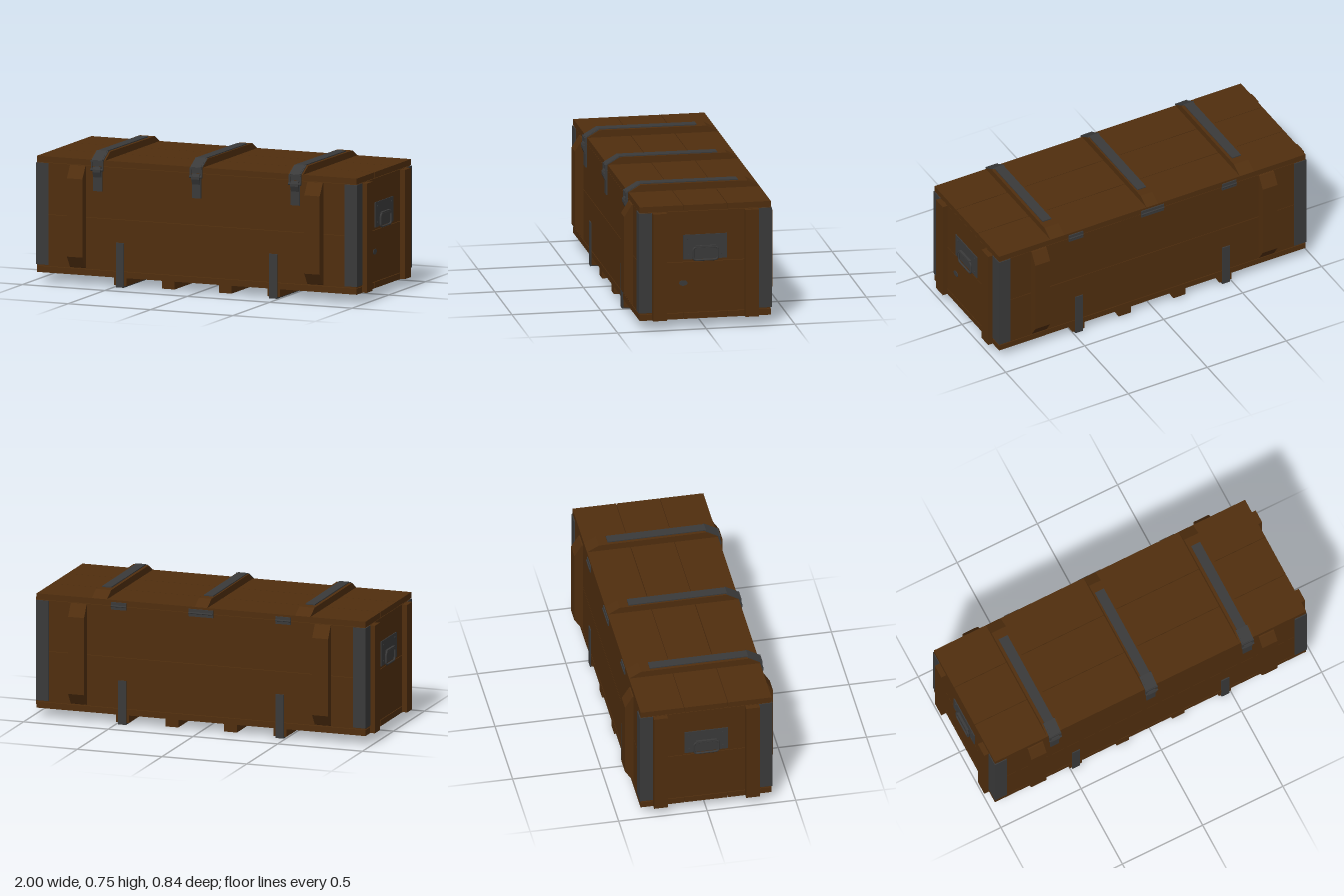
import * as THREE from 'three';

export function createModel() {
  const crate = new THREE.Group();
  crate.name = 'crate';
  const wood = new THREE.MeshStandardMaterial({ color: 0x502e0e });
  wood.name = 'brown wood';
  const metal = new THREE.MeshStandardMaterial({ color: 0x3a3a3a });
  metal.name = 'dark metal';

  function add(name, geometry, material) {
    const mesh = new THREE.Mesh(geometry, material);
    mesh.name = name;
    crate.add(mesh);
    return mesh;
  }
  // box given by its extents along each axis
  function box(name, material, x0, x1, y0, y1, z0, z1) {
    const g = new THREE.BoxGeometry(x1 - x0, y1 - y0, z1 - z0);
    g.translate((x0 + x1) / 2, (y0 + y1) / 2, (z0 + z1) / 2);
    return add(name, g, material);
  }
  // side profile of [z, y] points, given a width along x
  function profile(name, material, x, width, points) {
    const shape = new THREE.Shape(points.map(([z, y]) => new THREE.Vector2(z, y)));
    const g = new THREE.ExtrudeGeometry(shape, { depth: width, bevelEnabled: false });
    g.rotateY(-Math.PI / 2).translate(x + width / 2, 0, 0);
    return add(name, g, material);
  }

  // floor and lid, three planks each
  for (const [z0, z1] of [[-0.37, -0.125], [-0.122, 0.122], [0.125, 0.37]]) {
    box('floorPlank', wood, -0.97, 0.97, 0.054, 0.088, z0, z1);
    box('lidPlank', wood, -0.97, 0.97, 0.673, 0.706, z0, z1);
  }
  // walls, two planks each
  for (const [y0, y1] of [[0.091, 0.379], [0.382, 0.67]]) {
    for (const s of [-1, 1]) {
      box('sidePlank', wood, -0.968, 0.968, y0, y1, s * 0.353 - 0.016, s * 0.353 + 0.016);
      box('endPlank', wood, s * 0.953 - 0.016, s * 0.953 + 0.016, y0, y1, -0.337, 0.337);
    }
  }

  for (const sx of [-1, 1]) {
    for (const sz of [-1, 1]) {
      // upright battens on the ends
      box('endBatten', wood, sx * 0.985 - 0.015, sx * 0.985 + 0.015, 0.056, 0.669,
        sz * 0.26 - 0.039, sz * 0.26 + 0.039);
      // angle irons on the corners
      box('cornerIronSide', metal, sx * 0.936 - 0.037, sx * 0.936 + 0.037, 0.098, 0.669,
        sz * 0.372 - 0.003, sz * 0.372 + 0.003);
      box('cornerIronEnd', metal, sx * 0.97 - 0.003, sx * 0.97 + 0.003, 0.098, 0.669,
        sz * 0.337 - 0.037, sz * 0.337 + 0.037);
      // bevelled cleats on the long sides
      const cleat = [[0.368, 0.094], [0.376, 0.098], [0.418, 0.16], [0.418, 0.6], [0.376, 0.667], [0.368, 0.669]];
      profile('sideCleat', wood, sx * 0.72, 0.094, cleat.map(([z, y]) => [z * sz, y]));
    }
  }

  // skids under the floor, the outer pair wrapped in metal straps
  for (const s of [-1, 1]) {
    box('skid', wood, s * 0.465 - 0.038, s * 0.465 + 0.038, 0.01, 0.054, -0.368, 0.368);
    box('skid', wood, s * 0.173 - 0.038, s * 0.173 + 0.038, 0.01, 0.054, -0.368, 0.368);
    profile('skidStrap', metal, s * 0.465, 0.048, [
      [-0.375, 0], [0.375, 0], [0.375, 0.25], [0.369, 0.25], [0.369, 0.008],
      [-0.369, 0.008], [-0.369, 0.25], [-0.375, 0.25],
    ]);
  }

  // lid battens with metal straps and front latches
  for (const x of [-0.6, 0, 0.6]) {
    profile('lidBatten', wood, x, x === 0 ? 0.074 : 0.09,
      [[0.37, 0.706], [0.302, 0.746], [-0.302, 0.743], [-0.37, 0.706]]);
    profile('lidStrap', metal, x, 0.056, [
      [-0.25, 0.74], [-0.25, 0.749], [0.305, 0.751], [0.38, 0.707], [0.38, 0.672],
      [0.37, 0.672], [0.37, 0.7], [0.302, 0.744],
    ]);
    profile('strapNose', metal, x, 0.072, [[0.3, 0.744], [0.304, 0.75], [0.378, 0.707], [0.37, 0.7]]);
    box('latchPlate', metal, x - 0.027, x + 0.027, 0.532, 0.668, 0.368, 0.377);
    profile('latchLever', metal, x, 0.048,
      [[0.375, 0.61], [0.38, 0.61], [0.393, 0.64], [0.393, 0.655], [0.386, 0.67], [0.375, 0.67]]);
    const pin = new THREE.CylinderGeometry(0.007, 0.007, 0.076, 10);
    pin.rotateZ(Math.PI / 2).translate(x, 0.653, 0.384);
    add('latchPin', pin, metal);
    for (const s of [-1, 1]) {
      box('latchLink', metal, x + s * 0.033 - 0.004, x + s * 0.033 + 0.004, 0.65, 0.704, 0.377, 0.384);
    }
    box('latchHook', metal, x - 0.037, x + 0.037, 0.695, 0.705, 0.374, 0.386);
  }

  // hinges along the back
  for (const [x, w] of [[-0.485, 0.09], [0, 0.144], [0.485, 0.09]]) {
    box('hingePlate', metal, x - w / 2, x + w / 2, 0.652, 0.694, -0.376, -0.368);
    const knuckle = new THREE.CylinderGeometry(0.005, 0.005, w, 8);
    knuckle.rotateZ(Math.PI / 2).translate(x, 0.672, -0.376);
    add('hingeKnuckle', knuckle, metal);
  }

  // carrying handles on the ends
  const loop = new THREE.CurvePath();
  const corners = [[-0.07, 0.391], [0.07, 0.391], [0.07, 0.463], [-0.07, 0.463]];
  const r = 0.02;
  const pts = corners.map(([z, y]) => new THREE.Vector3(0, y, z));
  const toward = (a, b) => a.clone().add(b.clone().sub(a).setLength(r));
  pts.forEach((p, i) => {
    const next = pts[(i + 1) % 4], prev = pts[(i + 3) % 4];
    loop.add(new THREE.QuadraticBezierCurve3(toward(p, prev), p, toward(p, next)));
    loop.add(new THREE.LineCurve3(toward(p, next), toward(next, p)));
  });
  for (const s of [-1, 1]) {
    box('handlePlate', metal, s * 0.971 - 0.003, s * 0.971 + 0.003, 0.395, 0.536, -0.122, 0.124);
    const handle = add('handle', new THREE.TubeGeometry(loop, 64, 0.006, 8, true), metal);
    handle.position.x = s * 0.982;
    box('handleBracket', metal, s * 0.98 - 0.007, s * 0.98 + 0.007, 0.456, 0.473, -0.058, 0.058);
    for (const z of [-0.095, 0.095]) {
      for (const y of [0.42, 0.512]) {
        const rivet = new THREE.CylinderGeometry(0.006, 0.006, 0.004, 10);
        rivet.rotateZ(Math.PI / 2).translate(s * 0.975, y, z);
        add('rivet', rivet, metal);
      }
    }
  }
  // small oval tag on one end
  const tag = new THREE.CylinderGeometry(0.024, 0.024, 0.004, 24);
  tag.rotateZ(Math.PI / 2).scale(1, 0.65, 1).translate(0.97, 0.26, 0.124);
  add('ovalTag', tag, metal);

  return crate;
}
